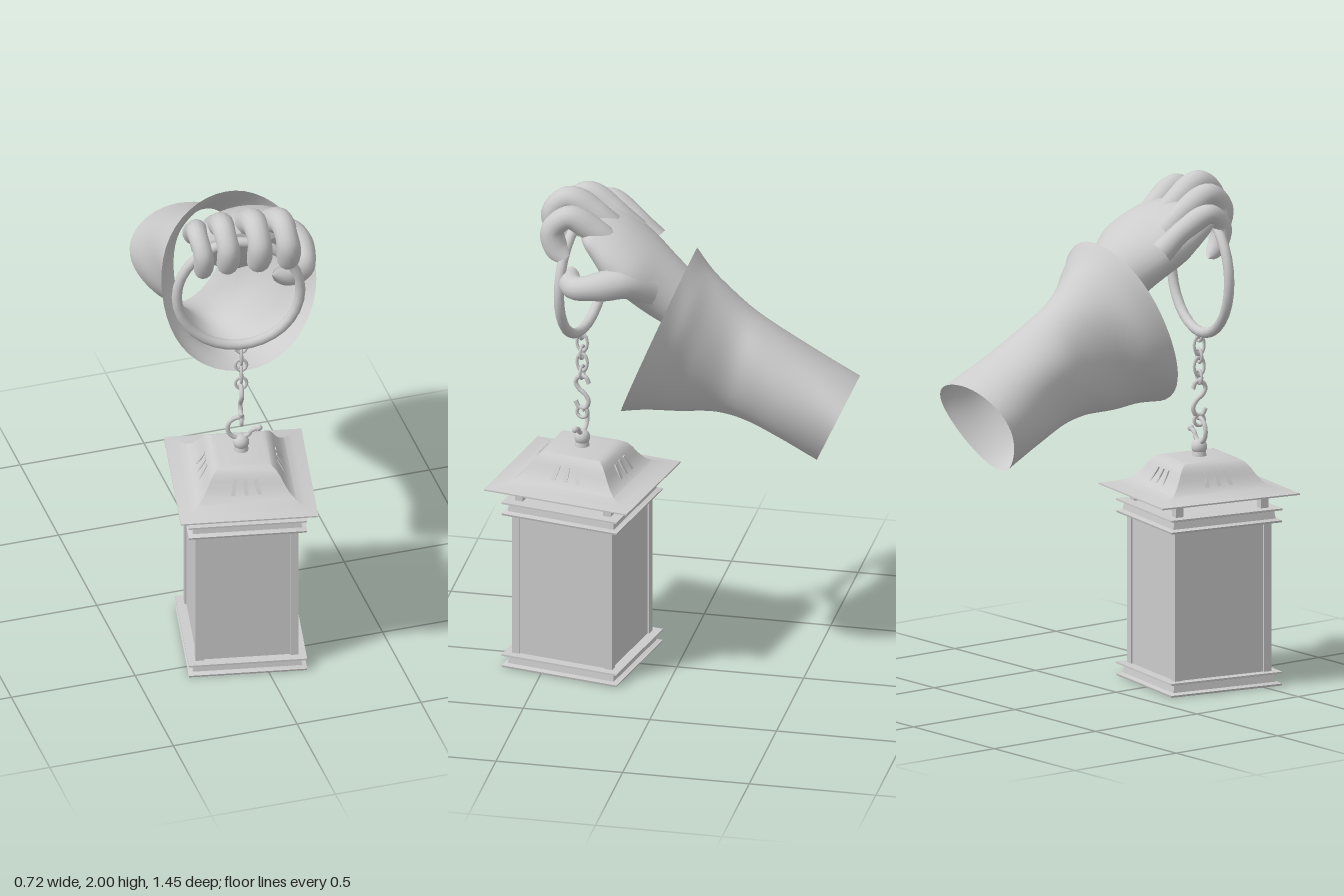
import * as THREE from 'three';
import { toCreasedNormals } from 'three/addons/utils/BufferGeometryUtils.js';

const V = (x, y, z) => new THREE.Vector3(x, y, z);
const grey = new THREE.MeshStandardMaterial({ color: 0xcccccc });
const thin = new THREE.MeshStandardMaterial({ color: 0xcccccc, side: THREE.DoubleSide });

function add(parent, name, geometry, x = 0, y = 0, z = 0, material = grey) {
  const mesh = new THREE.Mesh(geometry, material);
  mesh.name = name;
  mesh.position.set(x, y, z);
  parent.add(mesh);
  return mesh;
}

// Skin of smooth closed rings; each section is [centre x, half width, top y, top z, bottom y, bottom z, pear]
function loft(sections, steps, sides, closed, ripple = 0) {
  const curves = sections[0].map((_, k) =>
    new THREE.CatmullRomCurve3(sections.map((s, i) => V(s[k], i, 0))));
  const pos = [], index = [];
  for (let i = 0; i <= steps; i++) {
    const [cx, w, ty, tz, by, bz, pear] = curves.map(c => c.getPoint(i / steps).x);
    for (let j = 0; j < sides; j++) {
      const a = j / sides * Math.PI * 2, c = Math.cos(a);
      const m = 1 + ripple * Math.sin(3 * a + i * 0.5);
      pos.push(cx + w * Math.sin(a) * (1 + pear * c) * m - 0.15 * pear * (1 - c) / 2,
        (ty + by) / 2 + c * (ty - by) / 2, (tz + bz) / 2 + c * (tz - bz) / 2);
    }
  }
  for (let i = 0; i < steps; i++) for (let j = 0; j < sides; j++) {
    const a = i * sides + j, b = i * sides + (j + 1) % sides;
    index.push(a, a + sides, b, b, a + sides, b + sides);
  }
  if (closed) for (let j = 1; j < sides - 1; j++) {
    const e = steps * sides;
    index.push(0, j, j + 1, e, e + j + 1, e + j);
  }
  const g = new THREE.BufferGeometry();
  g.setAttribute('position', new THREE.Float32BufferAttribute(pos, 3));
  g.setIndex(index);
  g.computeVertexNormals();
  return g;
}

// Tapered tube with a rounded tip
function digit(points, r0, r1) {
  const curve = new THREE.CatmullRomCurve3(points), n = 36, sides = 14;
  const g = new THREE.TubeGeometry(curve, n, 1, sides);
  const p = g.attributes.position, v = V();
  for (let i = 0; i <= n; i++) {
    const u = i / n, c = curve.getPointAt(u);
    const tip = Math.sqrt(Math.max(0, 1 - Math.max(0, (u - 0.87) / 0.13) ** 2));
    const joint = 1 + 0.06 * Math.cos(u * Math.PI * 5);
    const r = (r0 + (r1 - r0) * u) * tip * joint;
    for (let j = 0; j <= sides; j++) {
      const k = i * (sides + 1) + j;
      v.fromBufferAttribute(p, k).sub(c).multiplyScalar(r).add(c);
      p.setXYZ(k, v.x, v.y, v.z);
    }
  }
  return g;
}

// Four-sided turned profile of [half size, y]
function square(profile, depth) {
  const pts = profile.map(([r, y]) => new THREE.Vector2(r * Math.SQRT2, y));
  const g = new THREE.LatheGeometry(pts, 4, Math.PI / 4).scale(1, 1, depth);
  return toCreasedNormals(g, Math.PI / 5);
}

const wire = (points, r) =>
  new THREE.TubeGeometry(new THREE.CatmullRomCurve3(points), 40, r, 8);

function buildLantern() {
  const g = new THREE.Group();
  g.name = 'lantern';
  // Base and upper trim, each two flared lips around a recess
  const lips = y => [[0, y], [0.228, y], [0.23, y + 0.008], [0.212, y + 0.014],
    [0.208, y + 0.042], [0.23, y + 0.048], [0.23, y + 0.055], [0, y + 0.055]];
  add(g, 'base', square(lips(0), 1.05));
  add(g, 'upperTrim', square(lips(0.645), 1.05));
  // Panes set between corner posts
  add(g, 'panes', new THREE.BoxGeometry(0.385, 0.6, 0.405), 0, 0.35, 0);
  for (const sx of [-1, 1]) for (const sz of [-1, 1]) {
    add(g, 'cornerPost', new THREE.BoxGeometry(0.032, 0.6, 0.032), sx * 0.184, 0.35, sz * 0.194);
    add(g, 'roofPost', new THREE.BoxGeometry(0.032, 0.07, 0.032), sx * 0.175, 0.73, sz * 0.185);
  }
  // Swept roof
  add(g, 'roof', square([[0, 0.755], [0.267, 0.755], [0.267, 0.761], [0.225, 0.771], [0.19, 0.783],
    [0.167, 0.803], [0.15, 0.828], [0.137, 0.853], [0.123, 0.873], [0.105, 0.886], [0.09, 0.89], [0, 0.89]], 1.12));
  // Raised louvres, three to each side
  for (let side = 0; side < 4; side++) {
    const face = new THREE.Group();
    face.name = 'louvres';
    face.rotation.y = side * Math.PI / 2;
    for (const k of [-1, 0, 1]) {
      const d = side % 2 ? 0.152 : 0.172;
      const louvre = add(face, 'louvre', new THREE.BoxGeometry(0.016, 0.075, 0.012), k * 0.047, 0.82, d);
      louvre.rotation.set(-0.5, 0, k * 0.2);
    }
    g.add(face);
  }
  // Finial
  add(g, 'finialNeck', new THREE.CylinderGeometry(0.024, 0.03, 0.03, 20), 0, 0.9, 0);
  add(g, 'finialBall', new THREE.SphereGeometry(0.031, 20, 14), 0, 0.925, 0);
  return g;
}

function buildChain() {
  const g = new THREE.Group();
  g.name = 'chain';
  // Open hook above the finial
  const arc = [];
  for (let i = 0; i <= 14; i++) {
    const a = 1.2 + i / 14 * 4.7;
    arc.push(V(-0.005 + Math.cos(a) * 0.048, 0.992 + Math.sin(a) * 0.048, 0));
  }
  arc.push(V(0.07, 0.985, 0));
  add(g, 'lowerHook', wire(arc, 0.009));
  add(g, 'hookEnd', new THREE.SphereGeometry(0.013, 12, 8), 0.07, 0.985, 0);
  // Shackle and S-shaped hook
  add(g, 'shackle', new THREE.TorusGeometry(0.022, 0.007, 8, 20), 0, 1.03, 0)
    .rotation.y = Math.PI / 2;
  const s = [[0.028, 1.155], [0.015, 1.18], [-0.012, 1.18], [-0.027, 1.155], [-0.015, 1.13],
    [0.012, 1.108], [0.027, 1.08], [0.014, 1.052], [-0.012, 1.05], [-0.028, 1.075]];
  add(g, 'sHook', wire(s.map(([z, y]) => V(0, y, -z)), 0.009));
  // Alternating links
  for (let i = 0; i < 5; i++) {
    const link = add(g, 'link', new THREE.TorusGeometry(0.022, 0.006, 8, 20), 0, 1.2 + i * 0.042, 0);
    link.scale.y = i % 2 ? 1.6 : 1.15;
    link.rotation.y = i % 2 ? Math.PI / 2 : 0;
  }
  return g;
}

function buildHand() {
  const g = new THREE.Group();
  g.name = 'hand';
  // Wrist and palm
  add(g, 'palm', loft([
    [0.05, 0.11, 1.6, -0.18, 1.42, -0.1, 0],
    [0.05, 0.13, 1.69, -0.07, 1.48, 0.01, 0],
    [0.05, 0.155, 1.75, 0.0, 1.53, 0.09, 0],
    [0.045, 0.205, 1.82, 0.09, 1.6, 0.17, 0],
    [0.025, 0.215, 1.875, 0.18, 1.66, 0.25, 0],
    [0.0, 0.205, 1.905, 0.26, 1.74, 0.31, 0],
    [-0.01, 0.19, 1.905, 0.31, 1.79, 0.34, 0],
    [-0.01, 0.13, 1.88, 0.35, 1.82, 0.36, 0]], 28, 28, true));
  // Curled fingers: knuckle x, bend x, tip x, z shift, y shift, radius
  const fingers = [[-0.14, -0.19, -0.175, -0.11, -0.075, 0.04], [-0.075, -0.105, -0.1, -0.045, -0.022, 0.046],
    [0.015, 0.01, 0.01, 0, 0, 0.05], [0.105, 0.125, 0.14, -0.02, -0.028, 0.048]];
  const path = [[0.22, 1.82], [0.32, 1.905], [0.42, 1.955], [0.483, 1.9], [0.47, 1.83], [0.425, 1.775]];
  for (const [x0, x1, x2, dz, dy, r] of fingers) {
    const pts = path.map(([z, y], i) => {
      const x = i < 2 ? x0 + (x1 - x0) * i / 2 : x1 + (x2 - x1) * (i - 2) / 3;
      return V(x, y + dy, z + dz);
    });
    add(g, 'finger', digit(pts, r * 1.1, r * 0.9));
  }
  // Thumb
  add(g, 'thumb', digit([V(0.15, 1.67, 0.08), V(0.22, 1.71, 0.17), V(0.242, 1.695, 0.27),
    V(0.225, 1.675, 0.35), V(0.16, 1.675, 0.39), V(0.085, 1.69, 0.395)], 0.07, 0.037));
  return g;
}

export function createModel() {
  const model = new THREE.Group();
  model.name = 'handWithLantern';

  const hanging = new THREE.Group();
  hanging.name = 'hangingLantern';
  hanging.position.set(-0.035, 0, 0.382);
  hanging.rotation.y = -0.19;
  hanging.add(buildLantern(), buildChain());
  add(hanging, 'carryRing', new THREE.TorusGeometry(0.24, 0.02, 12, 32), -0.01, 1.62, 0);
  model.add(hanging, buildHand());

  // Open sleeve from its narrow end to the flared cuff
  add(model, 'sleeve', loft([
    [0.055, 0.19, 1.3, -0.72, 0.95, -0.56, 0.3],
    [0.045, 0.175, 1.4, -0.54, 1.03, -0.41, 0.22],
    [0.035, 0.158, 1.5, -0.38, 1.09, -0.28, 0.15],
    [0.03, 0.152, 1.57, -0.28, 1.115, -0.16, 0.1],
    [0.035, 0.195, 1.66, -0.18, 1.115, -0.02, 0.04],
    [0.04, 0.26, 1.72, -0.12, 1.125, 0.09, 0],
    [0.045, 0.31, 1.78, -0.075, 1.12, 0.195, -0.04]], 32, 48, false, 0.025), 0, 0, 0, thin);
  return model;
}
